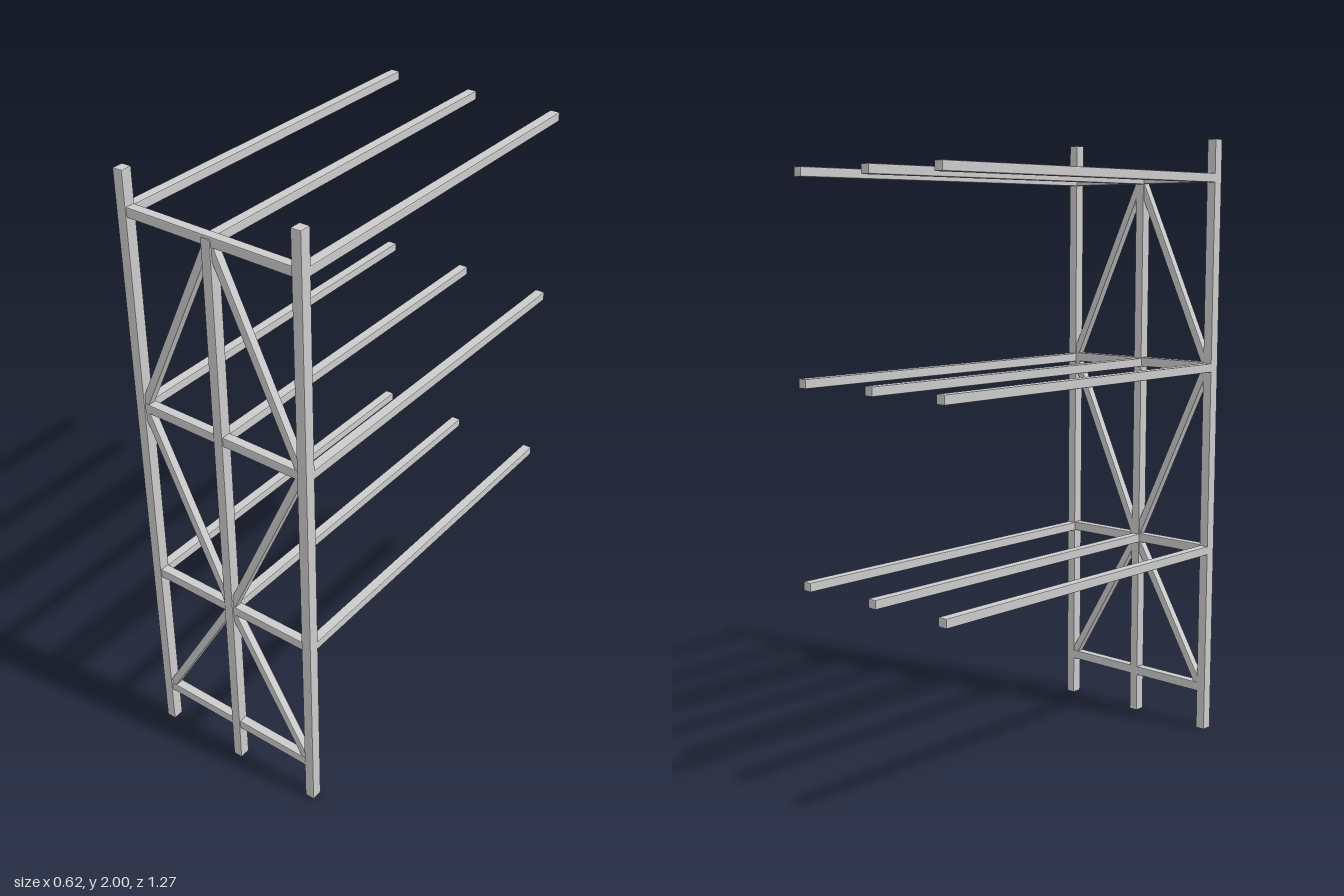
import * as THREE from 'three';
import { RoundedBoxGeometry } from 'three/addons/geometries/RoundedBoxGeometry.js';

const material = new THREE.MeshStandardMaterial({ color: 0xcccccc, flatShading: true });
const SIDE = 0.296;   // x of the outer posts
const FRAME_Z = 0.617; // z of the upright frame
const LEVELS = [0.635, 1.257, 1.878];

// Square bar with softened edges between two points
function bar(name, from, to, width, depth) {
  const a = new THREE.Vector3(...from);
  const b = new THREE.Vector3(...to);
  const dir = b.clone().sub(a);
  const mesh = new THREE.Mesh(new RoundedBoxGeometry(width, dir.length(), depth, 1, 0.003), material);
  mesh.name = name;
  mesh.position.copy(a).add(b).multiplyScalar(0.5);
  mesh.quaternion.setFromUnitVectors(new THREE.Vector3(0, 1, 0), dir.normalize());
  return mesh;
}

export function createModel() {
  const model = new THREE.Group();
  model.name = 'cantileverRack';
  const add = (...args) => model.add(bar(...args));

  // Upright posts, the middle one ending at the top rail
  add('leftPost', [SIDE, 0, FRAME_Z], [SIDE, 2, FRAME_Z], 0.033, 0.037);
  add('rightPost', [-SIDE, 0, FRAME_Z], [-SIDE, 2, FRAME_Z], 0.033, 0.037);
  add('middlePost', [-0.002, 0, FRAME_Z], [-0.002, 1.885, FRAME_Z], 0.032, 0.037);

  // Horizontal rails
  for (const y of [0.147, ...LEVELS])
    add('crossRail', [-SIDE + 0.01, y, 0.616], [SIDE - 0.01, y, 0.616], 0.031, 0.031);

  // Long arms reaching backwards at each level
  for (const y of LEVELS)
    for (const x of [-SIDE, -0.002, SIDE])
      add('arm', [x, y - 0.002, 0.61], [x, y - 0.002, -0.635], 0.032, 0.029);

  // Mirrored diagonal braces: [height at middle post, height at side post]
  for (const s of [-1, 1])
    for (const [middleY, sideY] of [[0.635, 0.15], [0.635, 1.25], [1.875, 1.265]])
      add('diagonalBrace', [0, middleY, 0.616], [s * (SIDE - 0.012), sideY, 0.616], 0.026, 0.027);

  return model;
}
